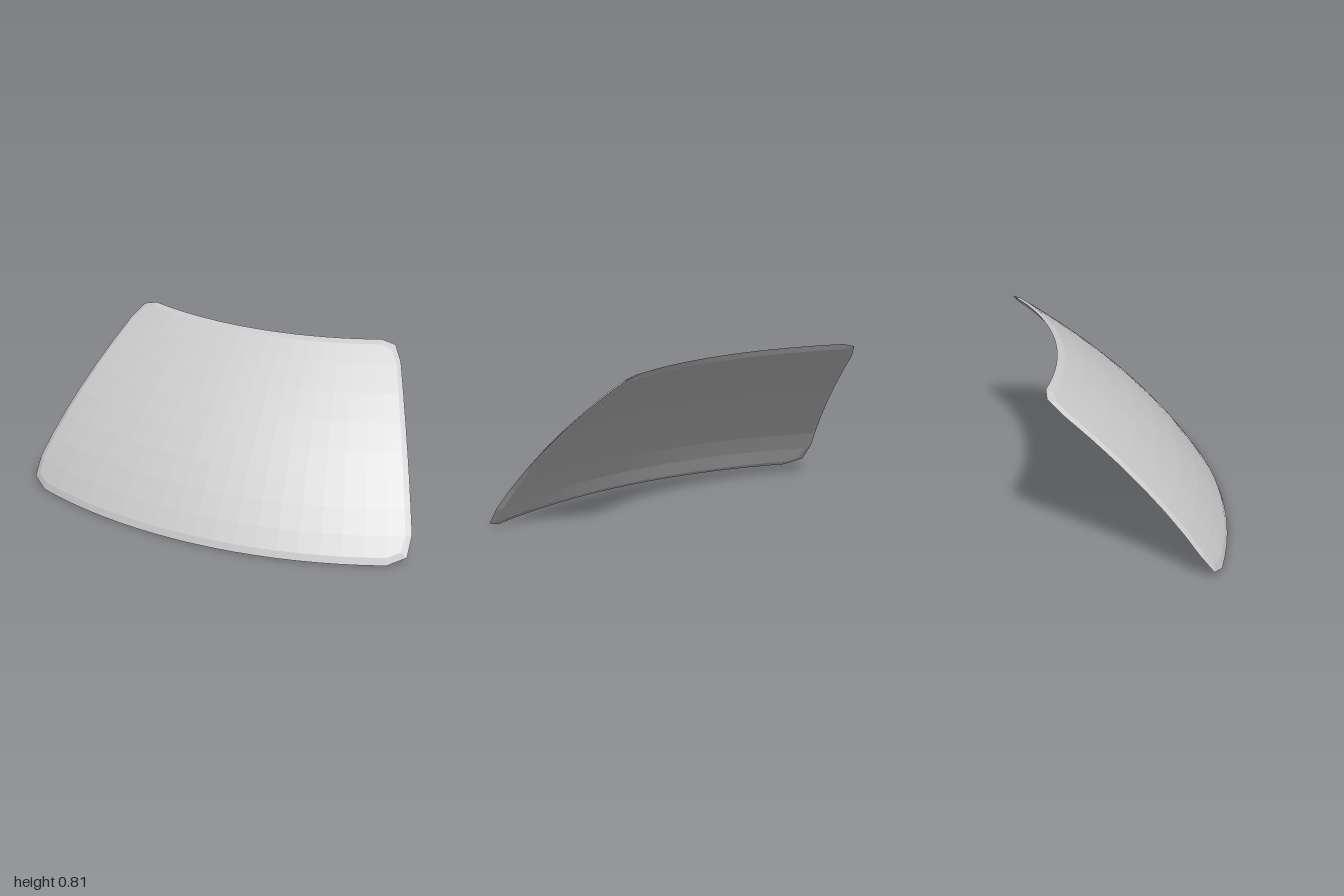
import * as THREE from 'three';

const COLS = 20, ROWS = 8;
const AXIS_Z = -1.98;      // vertical axis the panel is swept around
const THICKNESS = 0.022;
const DEG = Math.PI / 180;

// Point on the swept surface; depth moves along the normal, radial straight towards the axis
function surfacePoint(angle, y, depth = 0, radial = 0) {
  const slope = 0.602 + 0.942 * y;
  const len = Math.hypot(1, slope);
  const r = 0.472 - 0.602 * y - 0.471 * y * y - AXIS_Z - depth / len - radial;
  const a = angle * DEG;
  return new THREE.Vector3(r * Math.sin(a), y - (depth * slope) / len, r * Math.cos(a) + AXIS_Z);
}

// Angle and height of a grid node; border nodes follow the given limits, corners are cut
function gridNode(i, j, lim) {
  const sideEnd = i === 0 || i === COLS, rowEnd = j === 0 || j === ROWS;
  const sign = i < COLS / 2 ? -1 : 1;
  let angle = sideEnd ? sign * lim.side : -22.1 + (44.2 * (i - 1)) / (COLS - 2);
  let y = 0.12 + (0.61 * (j - 1)) / (ROWS - 2);
  if (rowEnd) y = j === 0 ? lim.bottom : lim.top;
  if (sideEnd && rowEnd) {
    angle = sign * lim.cornerSide;
    y = j === 0 ? lim.cornerBottom : lim.cornerTop;
  }
  return [angle, y];
}

const INSET = { side: 24.25, bottom: 0.035, top: 0.795, cornerSide: 23.7, cornerBottom: 0.057, cornerTop: 0.775 };
const EDGE = { side: 25.05, bottom: 0, top: 0.808, cornerSide: 24.4, cornerBottom: 0.032, cornerTop: 0.79 };

const outerPoint = (i, j) => surfacePoint(...gridNode(i, j, INSET));
const innerPoint = (i, j) => surfacePoint(...gridNode(i, j, INSET), THICKNESS);
const edgePoint = (i, j) => {
  const [angle, y] = gridNode(i, j, EDGE);
  return surfacePoint(angle, y, 0, 0.008 + 0.012 * y);
};

function meshFromQuads(name, quads) {
  const points = quads.flatMap(([a, b, c, d]) => [a, b, c, a, c, d]);
  const geometry = new THREE.BufferGeometry().setFromPoints(points);
  geometry.computeVertexNormals();
  const mesh = new THREE.Mesh(
    geometry,
    new THREE.MeshStandardMaterial({ color: 0xcccccc, flatShading: true })
  );
  mesh.name = name;
  return mesh;
}

// Large curved face as a grid of quads
function face(name, point, flip) {
  const quads = [];
  for (let j = 0; j < ROWS; j++) {
    for (let i = 0; i < COLS; i++) {
      const q = [point(i, j), point(i + 1, j), point(i + 1, j + 1), point(i, j + 1)];
      quads.push(flip ? q.reverse() : q);
    }
  }
  return meshFromQuads(name, quads);
}

// Border nodes, anticlockwise from the lower corner on the -x side
function borderNodes() {
  const nodes = [];
  for (let i = 0; i < COLS; i++) nodes.push([i, 0]);
  for (let j = 0; j < ROWS; j++) nodes.push([COLS, j]);
  for (let i = COLS; i > 0; i--) nodes.push([i, ROWS]);
  for (let j = ROWS; j > 0; j--) nodes.push([0, j]);
  return nodes;
}

// Bevelled strip between two border loops
function bevel(name, lower, upper) {
  const nodes = borderNodes();
  return meshFromQuads(name, nodes.map((n, k) => {
    const next = nodes[(k + 1) % nodes.length];
    return [lower(...n), lower(...next), upper(...next), upper(...n)];
  }));
}

export function createModel() {
  const panel = new THREE.Group();
  panel.name = 'curvedPanel';
  panel.add(
    face('outerFace', outerPoint, false),
    face('innerFace', innerPoint, true),
    bevel('outerBevel', edgePoint, outerPoint),
    bevel('innerBevel', innerPoint, edgePoint)
  );
  return panel;
}
